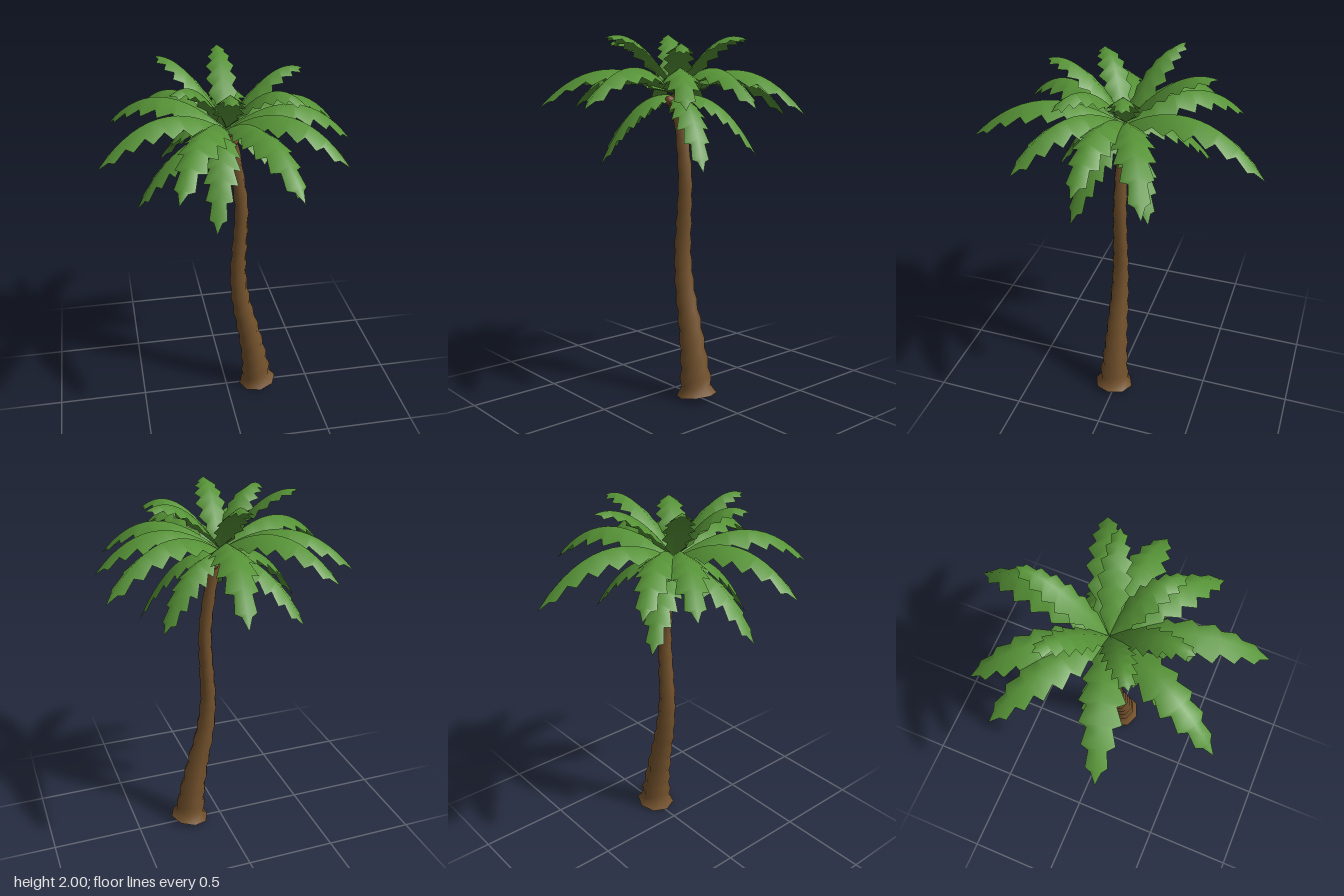
import * as THREE from 'three';

const leaf = new THREE.MeshStandardMaterial({ name: 'leafGreen', color: 0x579437, side: THREE.DoubleSide });
const bark = new THREE.MeshStandardMaterial({ name: 'barkBrown', color: 0x75532d });
const nut = new THREE.MeshStandardMaterial({ name: 'coconutBrown', color: 0x7a4c2e });

function geometryFrom(positions, index) {
  const g = new THREE.BufferGeometry();
  g.setAttribute('position', new THREE.Float32BufferAttribute(positions, 3));
  g.setIndex(index);
  g.computeVertexNormals();
  return g;
}

// Curved trunk: ringed eight-sided cross-sections set square to a bent path
function makeTrunk() {
  const path = new THREE.CatmullRomCurve3([
    [0.19, 0.018], [0.168, 0.2], [0.13, 0.4], [0.086, 0.6], [0.067, 0.8],
    [0.076, 1.0], [0.083, 1.2], [0.06, 1.4], [0.015, 1.66],
  ].map(([x, y]) => new THREE.Vector3(x, y, 0.01 * (1 - y / 1.66))));
  const sides = 8, rings = 30, pos = [], index = [];
  for (let i = 0; i <= rings; i++) {
    const t = i / rings;
    const c = path.getPoint(t), d = path.getTangent(t);
    if (i === 0) d.set(-0.16, 0.987, 0);
    const taper = 0.032 + 0.014 * (1 - t) + 0.042 * Math.pow(1 - t, 3);
    const r = i === 0 ? 0.112 : taper * (i % 2 ? 0.96 : 1.11);
    for (let j = 0; j < sides; j++) {
      const a = (j / sides) * Math.PI * 2;
      const u = Math.cos(a) * r;
      pos.push(c.x + d.y * u, c.y - d.x * u, c.z + Math.sin(a) * r);
      if (i < rings) {
        const p = i * sides + j, q = i * sides + (j + 1) % sides;
        index.push(p, p + sides, q, q, p + sides, q + sides);
      }
    }
  }
  // flat caps with their own corners
  for (const ring of [0, rings]) {
    const start = pos.length / 3;
    pos.push(...pos.slice(ring * sides * 3, (ring + 1) * sides * 3));
    for (let j = 1; j < sides - 1; j++) {
      index.push(start, start + (ring ? j + 1 : j), start + (ring ? j : j + 1));
    }
  }
  return geometryFrom(pos, index);
}

// Arching frond: a softly folded blade with saw-toothed edges that droop from the ridge
function makeFrond(tip, rootY, controlY, halfWidth) {
  const [x, y, z] = tip, len = Math.hypot(x, z);
  const dir = new THREE.Vector3(x / len, 0, z / len);
  const curve = new THREE.QuadraticBezierCurve3(
    new THREE.Vector3(0, rootY, 0),
    new THREE.Vector3(x * 0.56, controlY, z * 0.56),
    new THREE.Vector3(x, y, z));
  const teeth = 6, rows = [{ t: 0, f: 0, push: 0 }];
  for (let i = 1; i <= teeth; i++) {
    const t = i / (teeth + 1);
    rows.push({ t: t - 0.07, f: 0.74, push: 0 }, { t, f: 1.14, push: 0.025 });
  }
  rows.push({ t: 0.92, f: 0.72, push: 0 }, { t: 1, f: 0, push: 0 });

  const pos = [], index = [];
  rows.forEach(({ t, f, push }, i) => {
    const p = curve.getPoint(t), d = curve.getTangent(t);
    const w = halfWidth * f * Math.sin(Math.PI * 0.94 * Math.pow(t, 0.7));
    for (const s of [1, 0, -1]) {
      const out = Math.abs(s);
      pos.push(
        p.x - dir.z * s * w + d.x * push * out,
        p.y - w * 0.7 * out + d.y * push * out,
        p.z + dir.x * s * w + d.z * push * out);
    }
    if (i < rows.length - 1) {
      const l = i * 3, m = l + 1, r = l + 2;
      index.push(m, l, m + 3, l, l + 3, m + 3, m, m + 3, r, r, m + 3, r + 3);
    }
  });
  return geometryFrom(pos, index);
}

// Frond tiers: root height, arch height, half width, tips
const tiers = [
  { name: 'upperFrond', root: 1.67, arch: 2.03, width: 0.072, tips: [
    [0.42, 1.93, -0.12], [0.35, 1.85, 0.25], [-0.05, 1.94, 0.43],
    [-0.31, 1.93, 0.22], [-0.33, 2.0, -0.22], [0.03, 1.975, -0.47]] },
  { name: 'middleFrond', root: 1.66, arch: 1.955, width: 0.097, tips: [
    [0.13, 1.53, -0.75], [0.67, 1.55, -0.29], [0.65, 1.585, 0.05],
    [0.54, 1.58, 0.4], [0.22, 1.585, 0.745], [-0.33, 1.58, 0.66],
    [-0.67, 1.58, 0.21], [-0.59, 1.6, -0.36], [-0.42, 1.6, -0.54]] },
  { name: 'lowerFrond', root: 1.65, arch: 1.71, width: 0.085, tips: [
    [0.4, 1.27, 0.16], [-0.12, 1.285, 0.42], [-0.485, 1.31, 0.12],
    [-0.31, 1.35, -0.4], [0.38, 1.335, -0.24]] },
];

export function createModel() {
  const model = new THREE.Group();
  model.name = 'palmTree';
  const add = (geometry, material, name, parent = model) => {
    const mesh = new THREE.Mesh(geometry, material);
    mesh.name = name;
    parent.add(mesh);
    return mesh;
  };

  add(makeTrunk(), bark, 'trunk');

  const crown = new THREE.Group();
  crown.name = 'crown';
  model.add(crown);
  for (const { name, root, arch, width, tips } of tiers) {
    tips.forEach((tip, i) => add(makeFrond(tip, root, arch, width), leaf, name + (i + 1), crown));
  }

  // Coconuts clustered under the crown
  const nutGeometry = new THREE.SphereGeometry(0.027, 12, 8);
  [[0.025, 1.625, 0.062], [0.05, 1.605, -0.048], [-0.035, 1.605, -0.01]]
    .forEach((p, i) => add(nutGeometry, nut, 'coconut' + (i + 1)).position.set(...p));

  return model;
}
